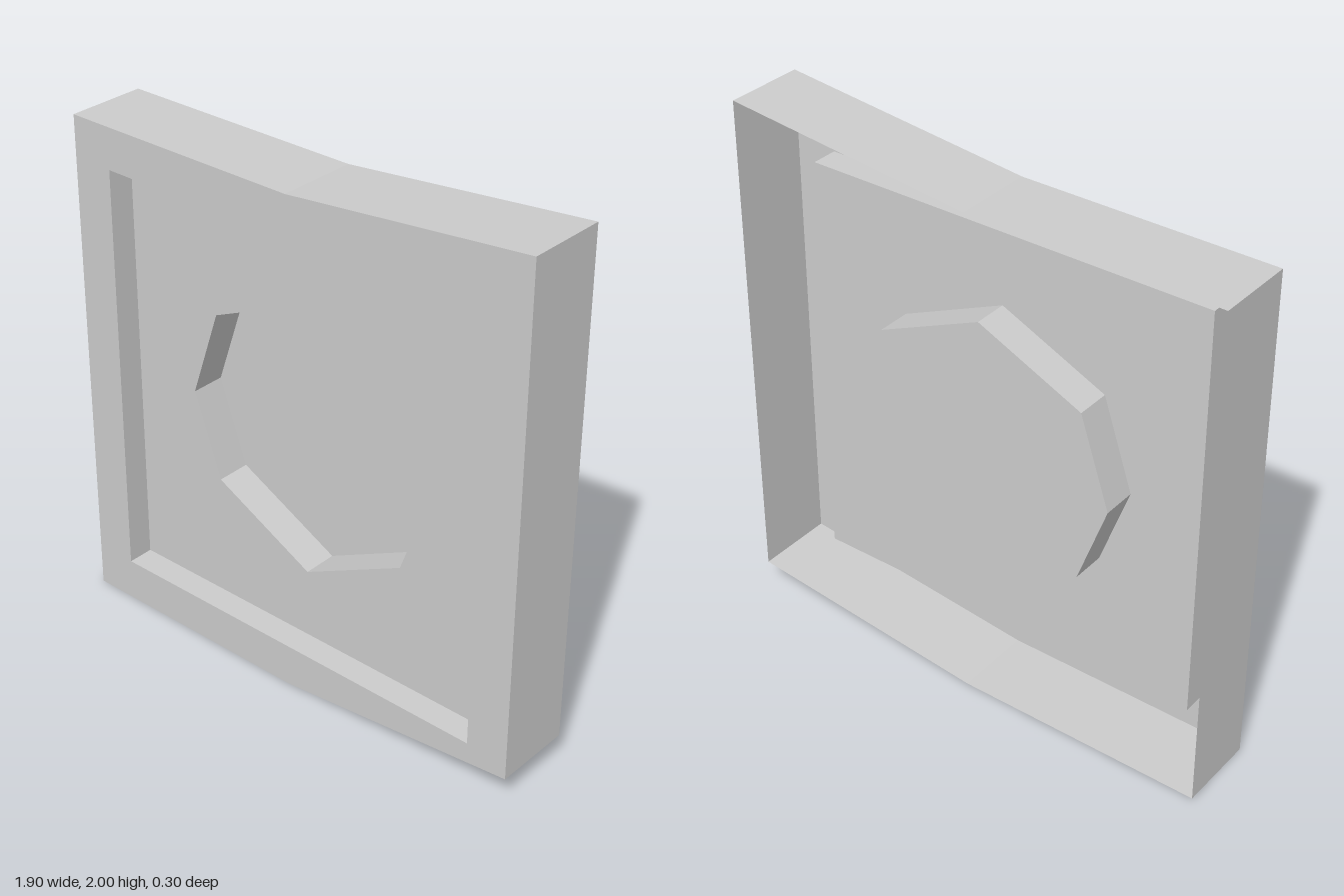
import * as THREE from 'three';

const material = new THREE.MeshStandardMaterial({
  color: 0xcccccc, flatShading: true, side: THREE.DoubleSide,
});

const points = (list) => list.map(([x, y]) => new THREE.Vector2(x, y));

// Open band that sweeps a closed outline from zBack to zFront
function wall(name, outline, zBack, zFront) {
  const pos = [];
  outline.forEach((a, i) => {
    const b = outline[(i + 1) % outline.length];
    pos.push(a.x, a.y, zBack, b.x, b.y, zBack, b.x, b.y, zFront);
    pos.push(a.x, a.y, zBack, b.x, b.y, zFront, a.x, a.y, zFront);
  });
  const geo = new THREE.BufferGeometry();
  geo.setAttribute('position', new THREE.Float32BufferAttribute(pos, 3));
  geo.computeVertexNormals();
  const mesh = new THREE.Mesh(geo, material);
  mesh.name = name;
  return mesh;
}

// Flat sheet facing +z, with an optional opening
function sheet(name, outline, z, hole) {
  const shape = new THREE.Shape(outline);
  if (hole) shape.holes.push(new THREE.Path(hole));
  const mesh = new THREE.Mesh(new THREE.ShapeGeometry(shape), material);
  mesh.position.z = z;
  mesh.name = name;
  return mesh;
}

export function createModel() {
  const group = new THREE.Group();
  group.name = 'recessedPanel';

  // Outlines, counter-clockwise from the front
  const outer = points([[-0.95, 0], [0, 0], [0.95, 0.1], [0.95, 2], [0, 1.9], [-0.95, 1.9]]);
  const square = points([[-0.79, 0.163], [0.79, 0.163], [0.79, 1.745], [-0.79, 1.745]]);
  const octagon = points([
    [0, 0.43], [0.409, 0.637], [0.523, 0.953], [0.409, 1.293],
    [0, 1.476], [-0.409, 1.293], [-0.523, 0.953], [-0.409, 0.637],
  ]);

  // Depths of the rim, front border, panel and dish
  const zRim = -0.15, zFront = 0.15, zPanel = 0.05, zDish = -0.08;

  group.add(
    // Thin outer shell, open at the back
    wall('outerWall', outer, zRim, zFront),
    sheet('frontBorder', outer, zFront, square),
    // Square recess
    wall('recessWall', square, zPanel, zFront),
    sheet('recessPanel', square, zPanel, octagon),
    // Eight-sided dish in the panel
    wall('dishWall', octagon, zDish, zPanel),
    sheet('dishFloor', octagon, zDish),
  );
  return group;
}
